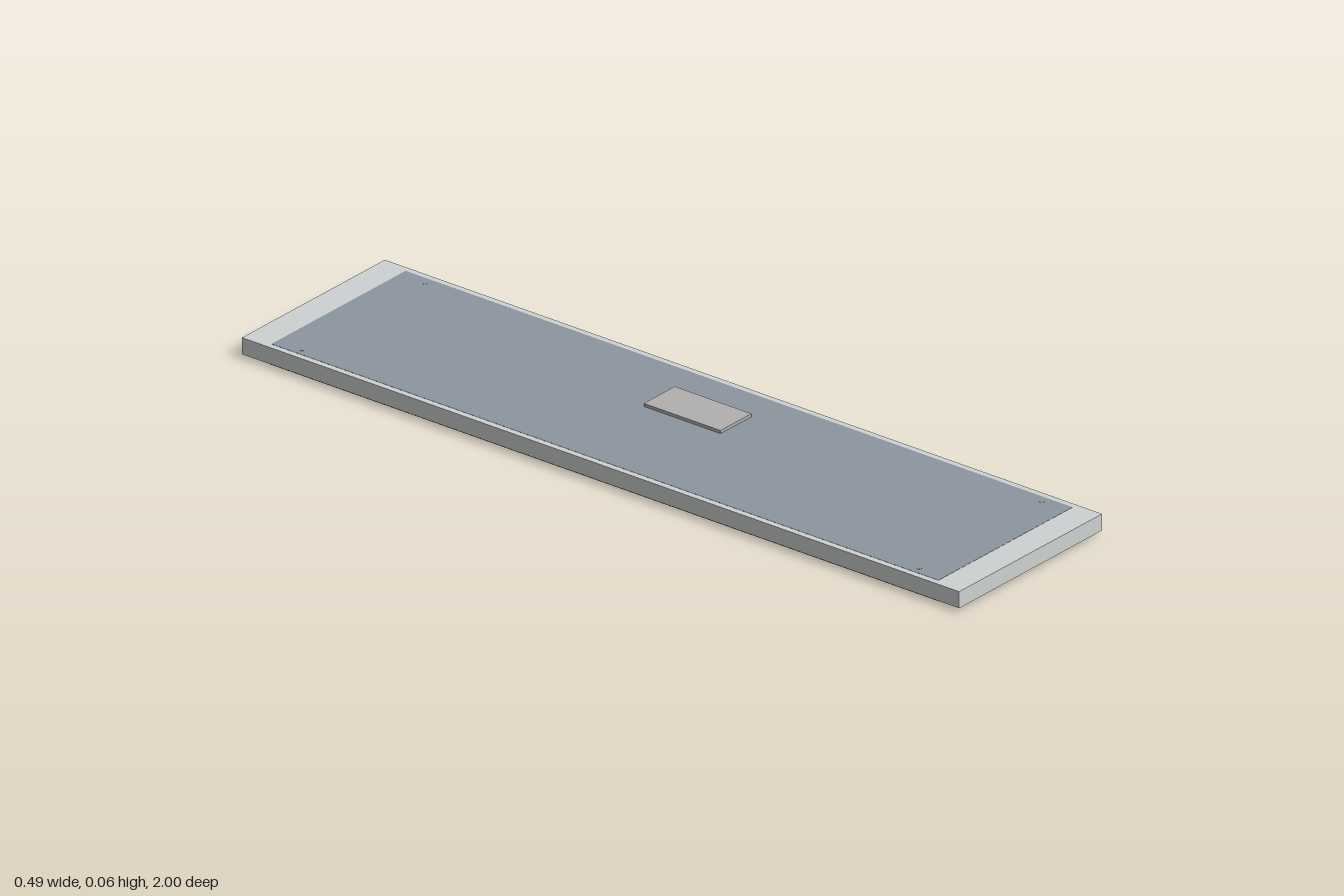
import * as THREE from 'three';

export function createModel() {
  const model = new THREE.Group();
  const paint = (color) => new THREE.MeshStandardMaterial({ color });
  const shell = paint(0xcdd2d1);
  const blue = paint(0x8c96a0);
  const metal = paint(0xb2b0af);

  // Box spanning the height y0..y1, centred at x
  function slab(name, width, depth, y0, y1, material, x = 0) {
    const mesh = new THREE.Mesh(new THREE.BoxGeometry(width, y1 - y0, depth), material);
    mesh.name = name;
    mesh.position.set(x, (y0 + y1) / 2, 0);
    model.add(mesh);
  }

  slab('body', 0.494, 2, 0.01, 0.05, shell);
  // Thin panel lying on the top face
  slab('topPanel', 0.464, 1.86, 0.046, 0.0505, blue);
  // Raised control block, off centre
  slab('controlBlock', 0.107, 0.214, 0.049, 0.058, metal, 0.0885);
  // Thin sheet floating just below the body
  slab('bottomSheet', 0.464, 1.87, 0, 0.002, metal);

  // Fastener in each corner of the panel
  const pin = new THREE.CylinderGeometry(0.006, 0.006, 0.006, 16);
  for (const sx of [-1, 1]) {
    for (const sz of [-1, 1]) {
      const mesh = new THREE.Mesh(pin, blue);
      mesh.name = 'cornerPin';
      mesh.position.set(sx * 0.212, 0.048, sz * 0.86);
      model.add(mesh);
    }
  }
  return model;
}
